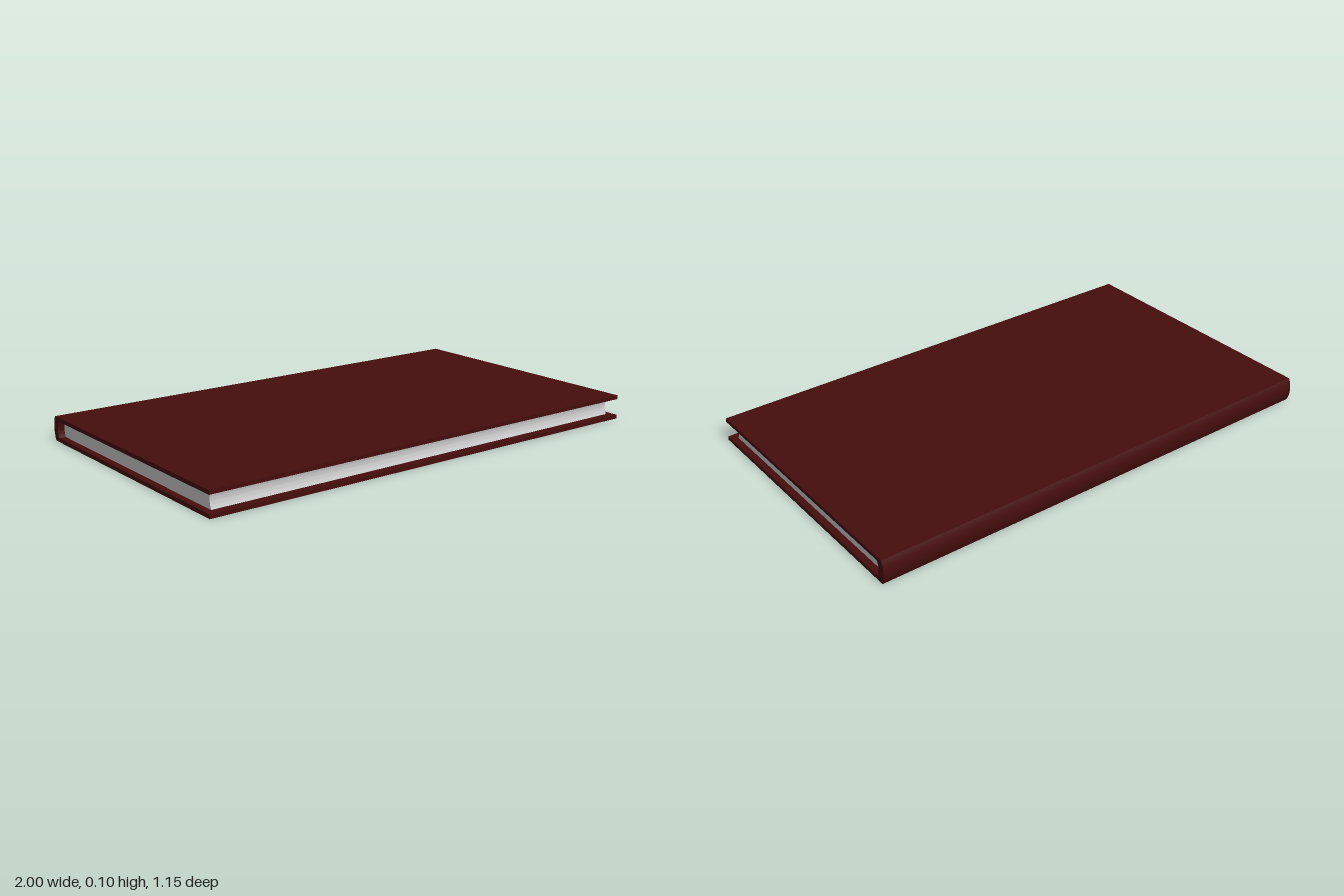
import * as THREE from 'three';
import { toCreasedNormals } from 'three/addons/utils/BufferGeometryUtils.js';

// Extrudes a side profile (u = -z, v = y) along x, centred
function extrudeAlongX(shape, width) {
  const geo = new THREE.ExtrudeGeometry(shape, { depth: width, bevelEnabled: false, curveSegments: 12 });
  geo.translate(0, 0, -width / 2);
  geo.rotateY(Math.PI / 2);
  return toCreasedNormals(geo, 0.5);
}

export function createModel() {
  const book = new THREE.Group();
  book.name = 'book';

  const coverMaterial = new THREE.MeshStandardMaterial({ color: 0x450d0d });
  coverMaterial.name = 'dark red cover';
  const pageMaterial = new THREE.MeshStandardMaterial({ color: 0xcccccc });
  pageMaterial.name = 'pale pages';

  const height = 0.1, board = 0.016, front = -0.575;
  const mid = height / 2, low = board, high = height - board;

  // Cover: two boards joined by a rounded spine
  const coverShape = new THREE.Shape();
  coverShape.moveTo(front, 0);
  coverShape.lineTo(0.563, 0);
  coverShape.quadraticCurveTo(0.587, mid, 0.563, height);
  coverShape.lineTo(front, height);
  coverShape.lineTo(front, high);
  coverShape.lineTo(0.535, high);
  coverShape.quadraticCurveTo(0.551, mid, 0.535, low);
  coverShape.lineTo(front, low);
  coverShape.closePath();
  const cover = new THREE.Mesh(extrudeAlongX(coverShape, 2), coverMaterial);
  cover.name = 'cover';
  book.add(cover);

  // Page block: hollow fore edge, rounded back against the spine
  const pageShape = new THREE.Shape();
  pageShape.moveTo(-0.54, low);
  pageShape.lineTo(0.535, low);
  pageShape.quadraticCurveTo(0.551, mid, 0.535, high);
  pageShape.lineTo(-0.54, high);
  pageShape.quadraticCurveTo(-0.524, mid, -0.54, low);
  const pages = new THREE.Mesh(extrudeAlongX(pageShape, 1.945), pageMaterial);
  pages.name = 'pages';
  book.add(pages);

  return book;
}
